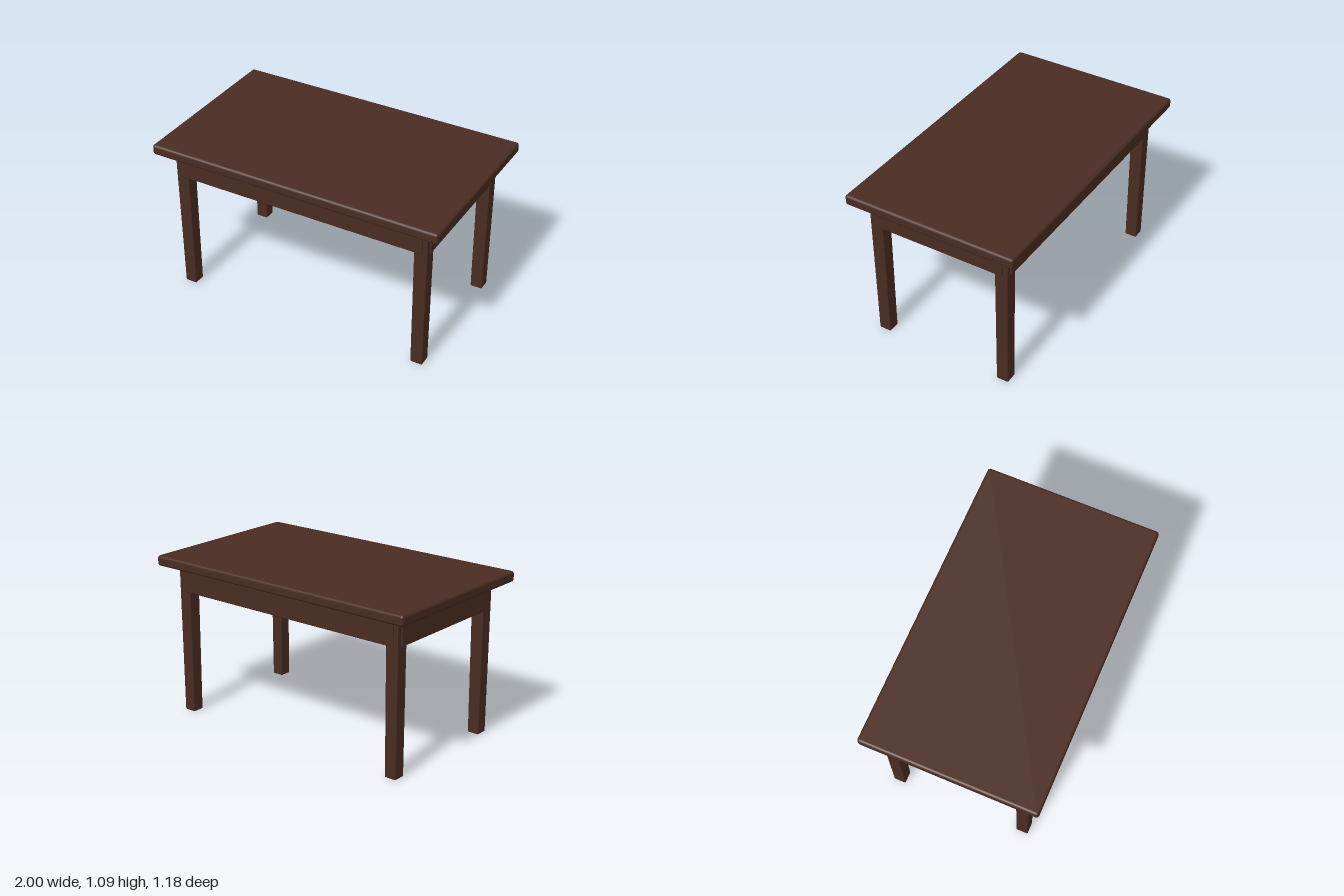
import * as THREE from 'three';
import { RoundedBoxGeometry } from 'three/addons/geometries/RoundedBoxGeometry.js';

export function createModel() {
  const table = new THREE.Group();
  table.name = 'table';
  const wood = new THREE.MeshStandardMaterial({ color: 0x4a2c22 });
  wood.name = 'dark wood';

  function add(name, geometry, x, y, z) {
    const mesh = new THREE.Mesh(geometry, wood);
    mesh.name = name;
    mesh.position.set(x, y, z);
    table.add(mesh);
  }

  // Top board with softly rounded edges
  add('tableTop', new RoundedBoxGeometry(2, 0.07, 1.18, 3, 0.018), 0, 1.053, 0);

  // Legs, slightly narrower toward the foot
  const legHeight = 1.02;
  const legGeometry = new RoundedBoxGeometry(0.09, legHeight, 0.09, 3, 0.008);
  const p = legGeometry.attributes.position;
  for (let i = 0; i < p.count; i++) {
    const taper = 0.94 + 0.06 * (p.getY(i) / legHeight + 0.5);
    p.setX(i, p.getX(i) * taper * (0.975 + 0.025 * (p.getY(i) / legHeight + 0.5)));
    p.setZ(i, p.getZ(i) * taper * (0.975 + 0.025 * (p.getY(i) / legHeight + 0.5)));
  }

  // Aprons stand just proud of the legs and stop short of the corners
  const longApron = new RoundedBoxGeometry(1.73, 0.17, 0.04, 3, 0.006);
  const shortApron = new RoundedBoxGeometry(0.04, 0.17, 0.92, 3, 0.006);

  for (const s of [1, -1]) {
    add(s > 0 ? 'frontApron' : 'backApron', longApron, 0, 0.931, s * 0.48);
    add(s > 0 ? 'leftApron' : 'rightApron', shortApron, s * 0.885, 0.931, 0);
    for (const t of [1, -1]) {
      const name = (t > 0 ? 'front' : 'back') + (s > 0 ? 'Left' : 'Right') + 'Leg';
      add(name, legGeometry, s * 0.851, legHeight / 2, t * 0.447);
    }
  }
  return table;
}
